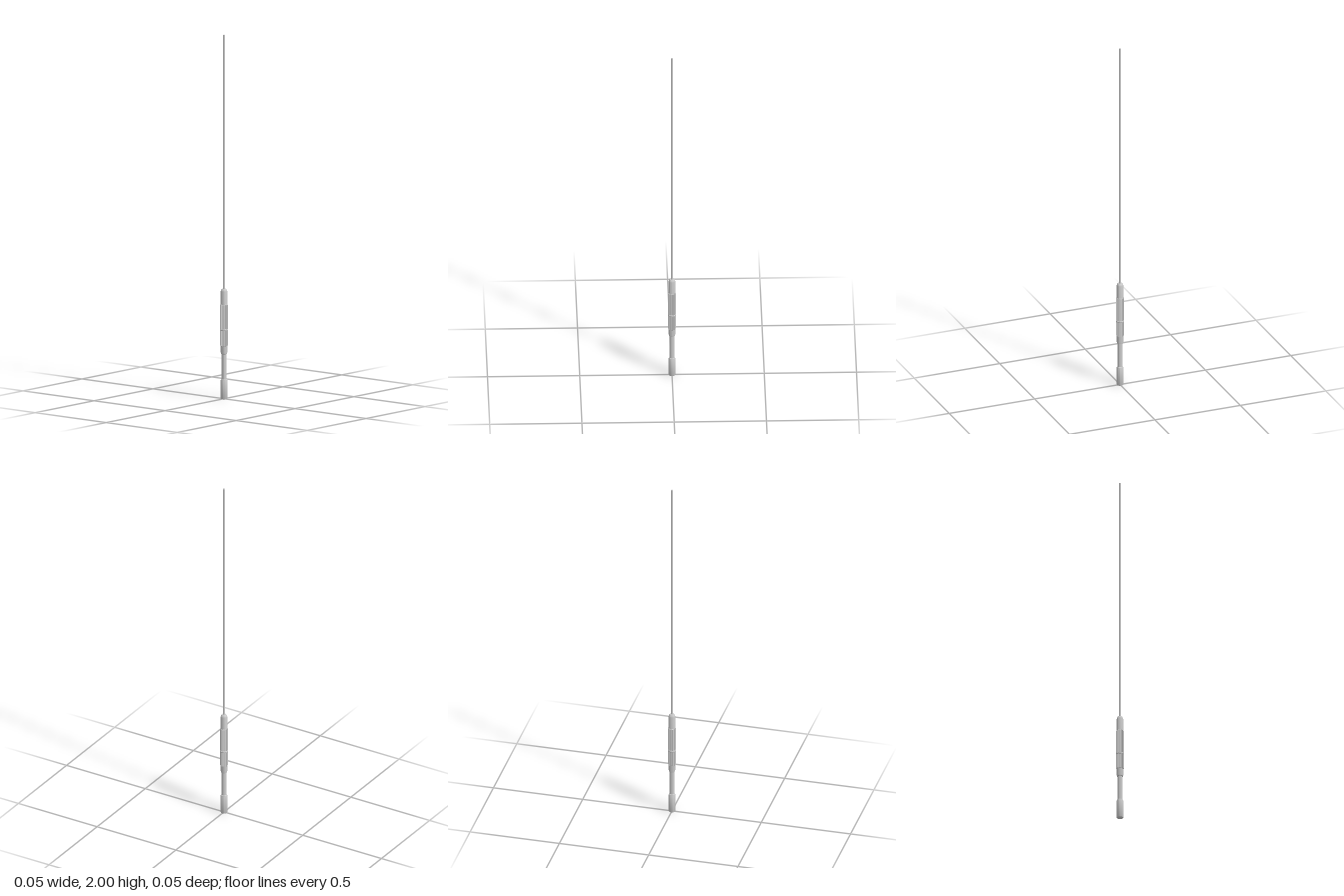
import * as THREE from 'three';
import { toCreasedNormals } from 'three/addons/utils/BufferGeometryUtils.js';

export function createModel() {
  const model = new THREE.Group();
  const grey = new THREE.MeshStandardMaterial({ color: 0xcccccc });

  const add = (name, geometry, parent = model) => {
    const mesh = new THREE.Mesh(geometry, grey);
    mesh.name = name;
    parent.add(mesh);
    return mesh;
  };
  // Turned part from [radius, height] pairs, bottom to top
  const turned = (name, profile) => {
    const points = profile.map(([r, y]) => new THREE.Vector2(r, y));
    return add(name, toCreasedNormals(new THREE.LatheGeometry(points, 32), 0.5));
  };

  // Butt, neck and handle
  turned('endCap', [[0, 0], [0.0175, 0], [0.0185, 0.002], [0.0185, 0.1], [0.0165, 0.107], [0.012, 0.109]]);
  turned('neck', [[0.0125, 0.1], [0.0125, 0.25]]);
  turned('handle', [[0.012, 0.246], [0.0165, 0.248], [0.0178, 0.255], [0.0178, 0.59], [0.0165, 0.597], [0.0115, 0.604], [0, 0.604]]);

  // Long thin rod with a flat tip
  turned('rod', [[0.0052, 0.6], [0.0052, 1.999], [0.0042, 2], [0, 2]]);

  // Raised grip ribs around the handle
  const grip = new THREE.Group();
  grip.name = 'gripRibs';
  model.add(grip);
  const ribs = 24;
  const outline = new THREE.Shape([
    new THREE.Vector2(0.016, 0.288),
    new THREE.Vector2(0.0207, 0.293),
    new THREE.Vector2(0.0207, 0.516),
    new THREE.Vector2(0.016, 0.521),
  ]);
  const ribGeometry = new THREE.ExtrudeGeometry(outline, { depth: 0.0026, bevelEnabled: false });
  ribGeometry.translate(0, 0, -0.0013);
  for (let i = 0; i < ribs; i++) {
    add('gripRib', ribGeometry, grip).rotation.y = (i / ribs) * Math.PI * 2;
  }

  // Narrow ring standing proud of the grip
  turned('gripRing', [[0.017, 0.375], [0.0218, 0.376], [0.0228, 0.378], [0.0228, 0.382], [0.0218, 0.384], [0.017, 0.385]]);

  return model;
}
